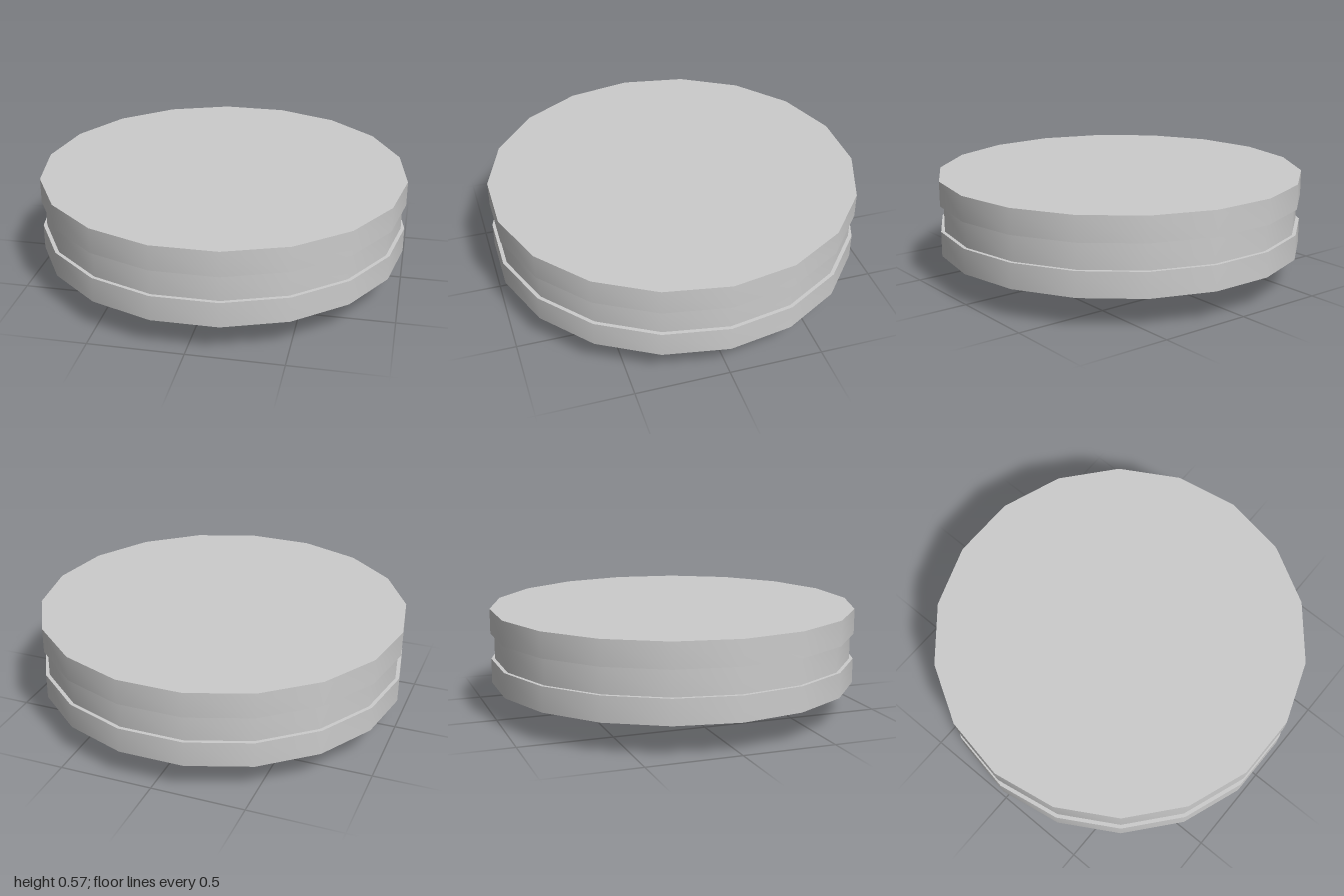
import * as THREE from 'three';
import { toCreasedNormals } from 'three/addons/utils/BufferGeometryUtils.js';

const SIDES = 18;

export function createModel() {
  const group = new THREE.Group();
  const material = new THREE.MeshStandardMaterial({ color: 0xcccccc });

  // Revolve a profile of [radius, y] points, with a corner on the x axis
  function revolve(name, profile) {
    const points = profile.map(([r, y]) => new THREE.Vector2(r, y));
    const lathe = new THREE.LatheGeometry(points, SIDES, Math.PI / 2);
    const mesh = new THREE.Mesh(toCreasedNormals(lathe, 0.6), material);
    mesh.name = name;
    group.add(mesh);
  }

  // Shallow bulge underneath, recessed inside the lower rim
  revolve('bottomDome', [[0, 0], [0.33, 0.06], [0.885, 0.222]]);

  // Lower rim, open in the middle
  revolve('lowerRim', [[0.885, 0.222], [0.885, 0.165], [1, 0.165], [1, 0.3], [0.98, 0.3]]);

  // Recessed band between the rims
  revolve('grooveBand', [[0.98, 0.3], [0.98, 0.44]]);

  // Upper rim with the flat top
  revolve('upperRim', [[0.98, 0.44], [1, 0.44], [1, 0.575], [0, 0.575]]);

  return group;
}
